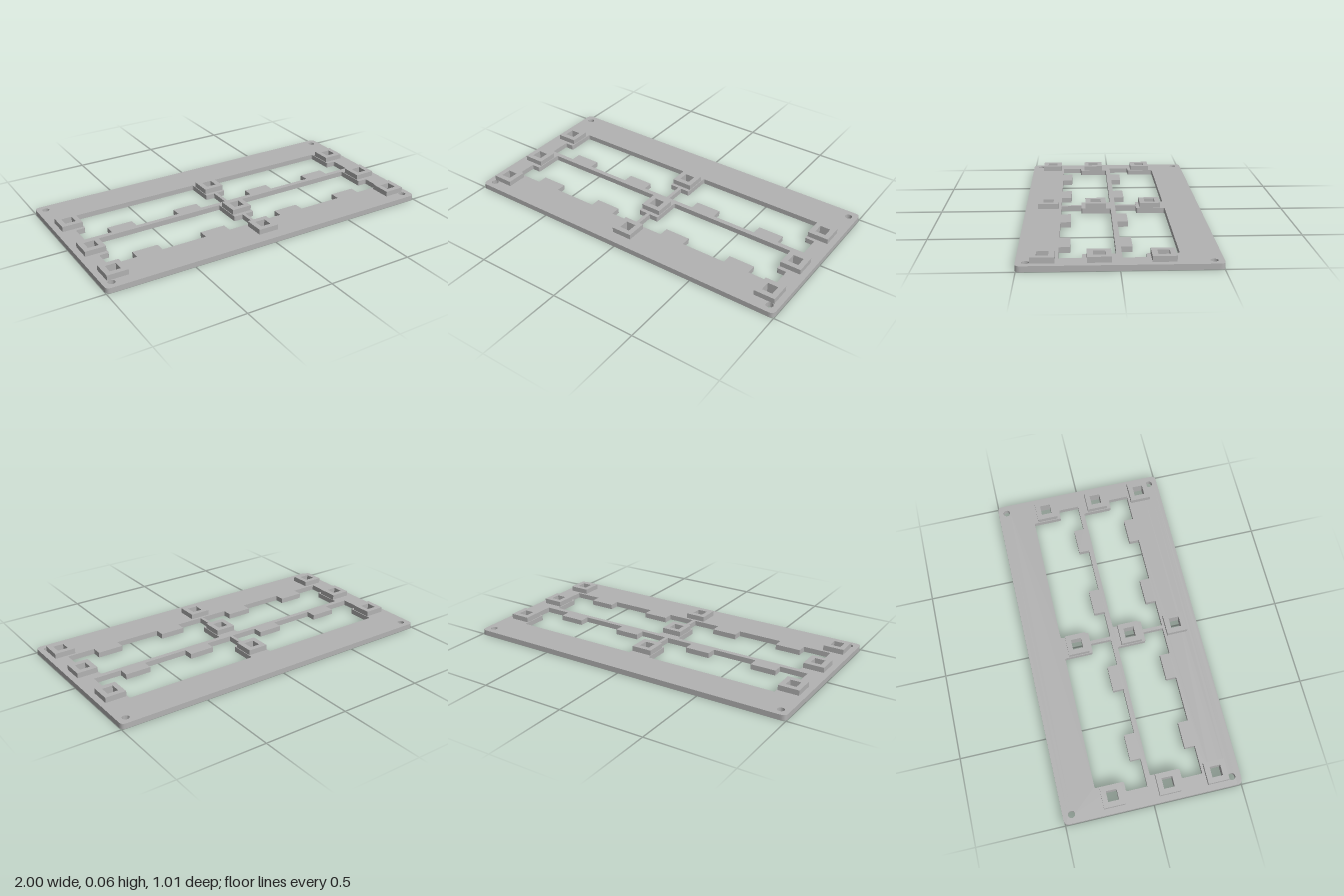
import * as THREE from 'three';

const THICK = 0.03;
const BOSS_X = [-0.905, 0, 0.905];
const BOSS_Z = [-0.215, 0.1, 0.375];

// Trace a closed polygon of [x, z, cornerRadius] points onto a Path or Shape
function trace(path, pts) {
  const n = pts.length;
  pts.forEach(([x, z, r = 0], i) => {
    const toward = ([px, pz]) => {
      const d = Math.hypot(px - x, pz - z);
      return [x + (px - x) * r / d, -(z + (pz - z) * r / d)];
    };
    const a = toward(pts[(i + n - 1) % n]);
    const b = toward(pts[(i + 1) % n]);
    if (i === 0) path.moveTo(...a); else path.lineTo(...a);
    if (r > 0) path.quadraticCurveTo(x, -z, ...b);
  });
  path.closePath();
  return path;
}

function rect(path, cx, cz, w, d, r = 0) {
  const x = w / 2, z = d / 2;
  return trace(path, [
    [cx - x, cz + z, r], [cx + x, cz + z, r], [cx + x, cz - z, r], [cx - x, cz - z, r],
  ]);
}

// Extrude a plan shape upward from y = 0
function slab(shape, depth) {
  const geo = new THREE.ExtrudeGeometry(shape, { depth, bevelEnabled: false, curveSegments: 8 });
  return geo.rotateX(-Math.PI / 2);
}

// Stepped window with two tabs along its front edge; side mirrors it in x
function opening(side, back, step, front, tab) {
  const r = 0.01;
  const pts = [
    [0.84, back, r], [0.064, back, r], [0.064, step, r], [0.01, step],
    [0.01, front],
    [0.17, front], [0.17, tab], [0.32, tab], [0.32, front],
    [0.585, front], [0.585, tab], [0.735, tab], [0.735, front],
    [0.896, front], [0.896, step, r], [0.84, step, r],
  ];
  return trace(new THREE.Path(), pts.map(([x, z, c]) => [x * side, z, c]));
}

export function createModel() {
  const group = new THREE.Group();
  const grey = new THREE.MeshStandardMaterial({ color: 0xb2b2b2 });
  grey.name = 'plate grey';

  // Frame plate with windows, screw holes and square post holes
  const plate = rect(new THREE.Shape(), 0, 0, 2, 1.01, 0.03);
  for (const side of [-1, 1]) {
    plate.holes.push(opening(side, -0.3, -0.135, -0.014, -0.073));
    plate.holes.push(opening(side, 0.014, 0.183, 0.3, 0.242));
    for (const z of [-0.455, 0.455]) {
      const hole = new THREE.Path();
      hole.absarc(side * 0.95, -z, 0.02, 0, Math.PI * 2, true);
      plate.holes.push(hole);
    }
  }
  for (const x of BOSS_X) {
    for (const z of BOSS_Z) plate.holes.push(rect(new THREE.Path(), x, z, 0.06, 0.06));
  }
  const frame = new THREE.Mesh(slab(plate, THICK), grey);
  frame.name = 'framePlate';
  group.add(frame);

  // Raised square sockets
  const socket = rect(new THREE.Shape(), 0, 0, 0.12, 0.12);
  socket.holes.push(rect(new THREE.Path(), 0, 0, 0.06, 0.06));
  const socketGeo = slab(socket, THICK);
  for (const x of BOSS_X) {
    for (const z of BOSS_Z) {
      const mesh = new THREE.Mesh(socketGeo, grey);
      mesh.name = 'squareSocket';
      mesh.position.set(x, THICK, z);
      group.add(mesh);
    }
  }
  return group;
}
